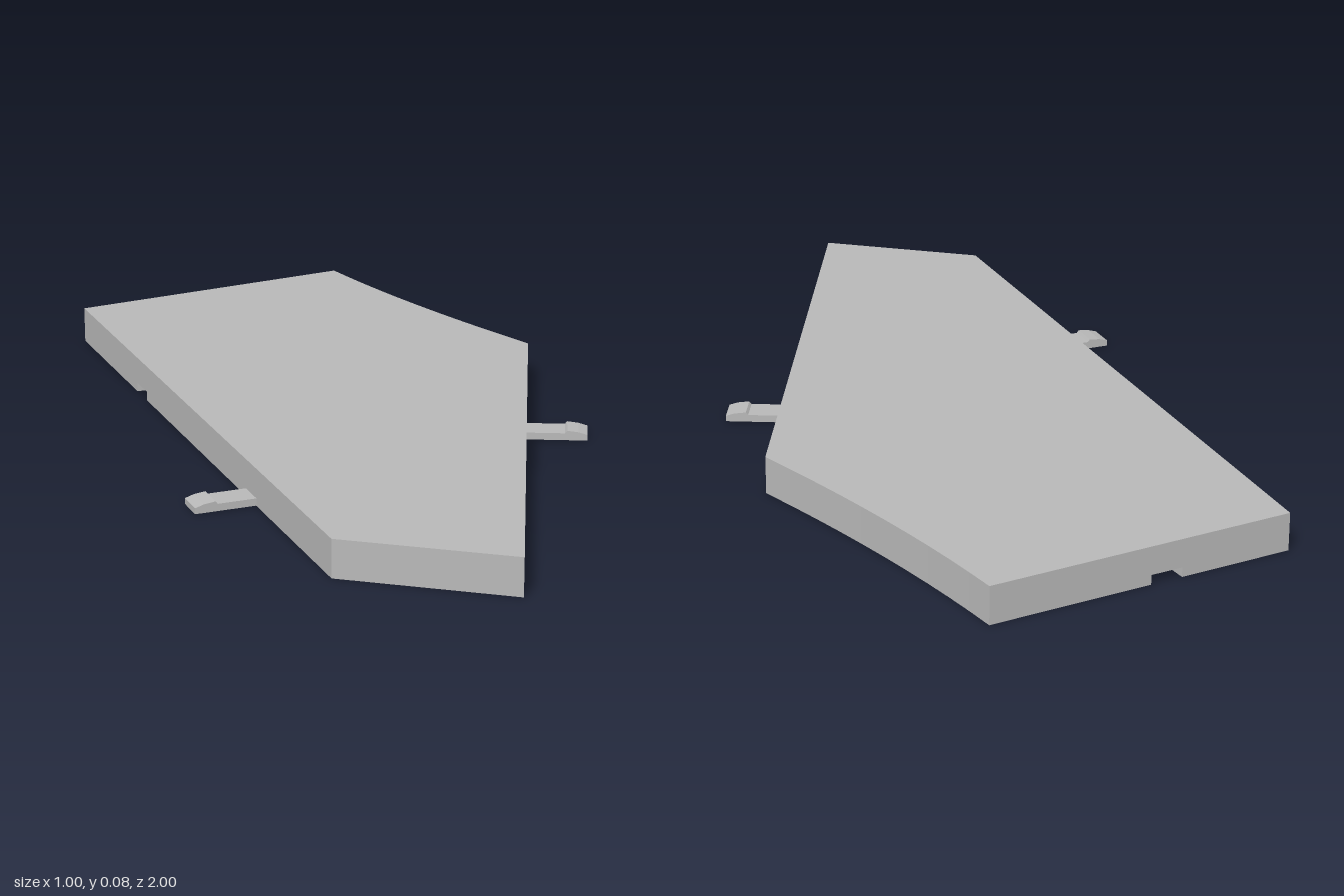
import * as THREE from 'three';

const HEIGHT = 0.083, FLOOR = 0.06, NOTCH_TOP = 0.021, RIM = 0.165;
const v = (x, z) => new THREE.Vector2(x, -z); // plan point, drawn with y = -z

// plan corners, clockwise from the back right
const A = v(-0.505, -0.81), B = v(0.16, -1), C = v(0.475, -0.3), D = v(0.1, 1), E = v(-0.24, 0.825);
const bow = new THREE.QuadraticBezierCurve(B, v(0.272, -0.67), C).getPoints(10);
const outline = [A, ...bow, D, E];

const inward = (p, q) => new THREE.Vector2(q.y - p.y, p.x - q.x).normalize();

// offset a closed clockwise outline inward
function inset(pts, d) {
  return pts.map((p, i) => {
    const n1 = inward(pts[(i + pts.length - 1) % pts.length], p);
    const n2 = inward(p, pts[(i + 1) % pts.length]);
    const m = n1.clone().add(n2);
    return p.clone().addScaledVector(m, d / (1 + n1.dot(n2)));
  });
}

// outline with a rectangular notch cut into chosen edges
function notched(pts, notches) {
  const out = [];
  pts.forEach((p, i) => {
    out.push(p);
    const hit = notches.find((n) => n.from.equals(p));
    if (!hit) return;
    const q = pts[(i + 1) % pts.length], n = inward(p, q);
    const along = q.clone().sub(p).normalize(), c = p.clone().lerp(q, hit.t);
    for (const [s, d] of [[-1, 0], [-1, 0.14], [1, 0.14], [1, 0]]) {
      out.push(c.clone().addScaledVector(along, s * 0.036).addScaledVector(n, d));
    }
  });
  return out;
}

// horizontal slab between two heights, optionally with a hole
function slab(pts, y0, y1, hole) {
  const shape = new THREE.Shape(pts);
  if (hole) shape.holes.push(new THREE.Path(hole));
  const g = new THREE.ExtrudeGeometry(shape, { depth: y1 - y0, bevelEnabled: false });
  return g.rotateX(-Math.PI / 2).translate(0, y0, 0);
}

// span of an outline along one axis at a fixed value of the other
function span(pts, fixed, free, value) {
  const hits = [];
  pts.forEach((p, i) => {
    const q = pts[(i + 1) % pts.length];
    if ((p[fixed] - value) * (q[fixed] - value) < 0) {
      hits.push(p[free] + (q[free] - p[free]) * (value - p[fixed]) / (q[fixed] - p[fixed]));
    }
  });
  return [Math.min(...hits), Math.max(...hits)];
}

export function createModel() {
  const group = new THREE.Group();
  const gray = new THREE.MeshStandardMaterial({ name: 'gray', color: 0xb8b8b8 });
  const add = (name, geometry) => {
    const mesh = new THREE.Mesh(geometry, gray);
    mesh.name = name;
    group.add(mesh);
    return mesh;
  };

  // hollow tile: top plate, wall and notched foot of the wall
  const recess = inset(outline, RIM);
  const notches = [{ from: A, t: 0.42 }, { from: C, t: 0.72 }, { from: E, t: 0.725 }];
  add('topPlate', slab(outline, FLOOR, HEIGHT));
  add('rimWall', slab(outline, NOTCH_TOP, FLOOR, recess));
  add('notchedRimFoot', slab(notched(outline, notches), 0, NOTCH_TOP, recess));

  // stiffening ribs on a square grid inside the recess
  const ribY = 0.002, ribH = FLOOR - ribY + 0.005, ribW = 0.03;
  for (const x of [0.2, -0.13]) {
    const [a, b] = span(recess, 'x', 'y', x);
    add('lengthRib', new THREE.BoxGeometry(ribW, ribH, b - a + 0.02))
      .position.set(x, ribY + ribH / 2, -(a + b) / 2);
  }
  for (const z of [-0.43, -0.1, 0.23, 0.56]) {
    const [a, b] = span(recess, 'y', 'x', -z);
    add('crossRib', new THREE.BoxGeometry(b - a + 0.02, ribH, ribW))
      .position.set((a + b) / 2, ribY + ribH / 2, z);
  }

  // snap tabs with a raised catch near the tip
  const profile = new THREE.Shape([
    [-0.01, 0.001], [0.135, 0.001], [0.135, 0.014], [0.115, 0.02], [0.09, 0.023], [0.085, 0.017], [-0.01, 0.017],
  ].map(([x, y]) => new THREE.Vector2(x, y)));
  const tabGeometry = new THREE.ExtrudeGeometry(profile, { depth: 0.065, bevelEnabled: false }).translate(0, 0, -0.0325);
  for (const [name, p, q, t] of [['leftTab', C, D, 0.305], ['rightTab', E, A, 0.278]]) {
    const n = inward(p, q).negate(), c = p.clone().lerp(q, t);
    const tab = add(name, tabGeometry);
    tab.position.set(c.x, 0, -c.y);
    tab.rotation.y = Math.atan2(n.y, n.x);
  }
  return group;
}
